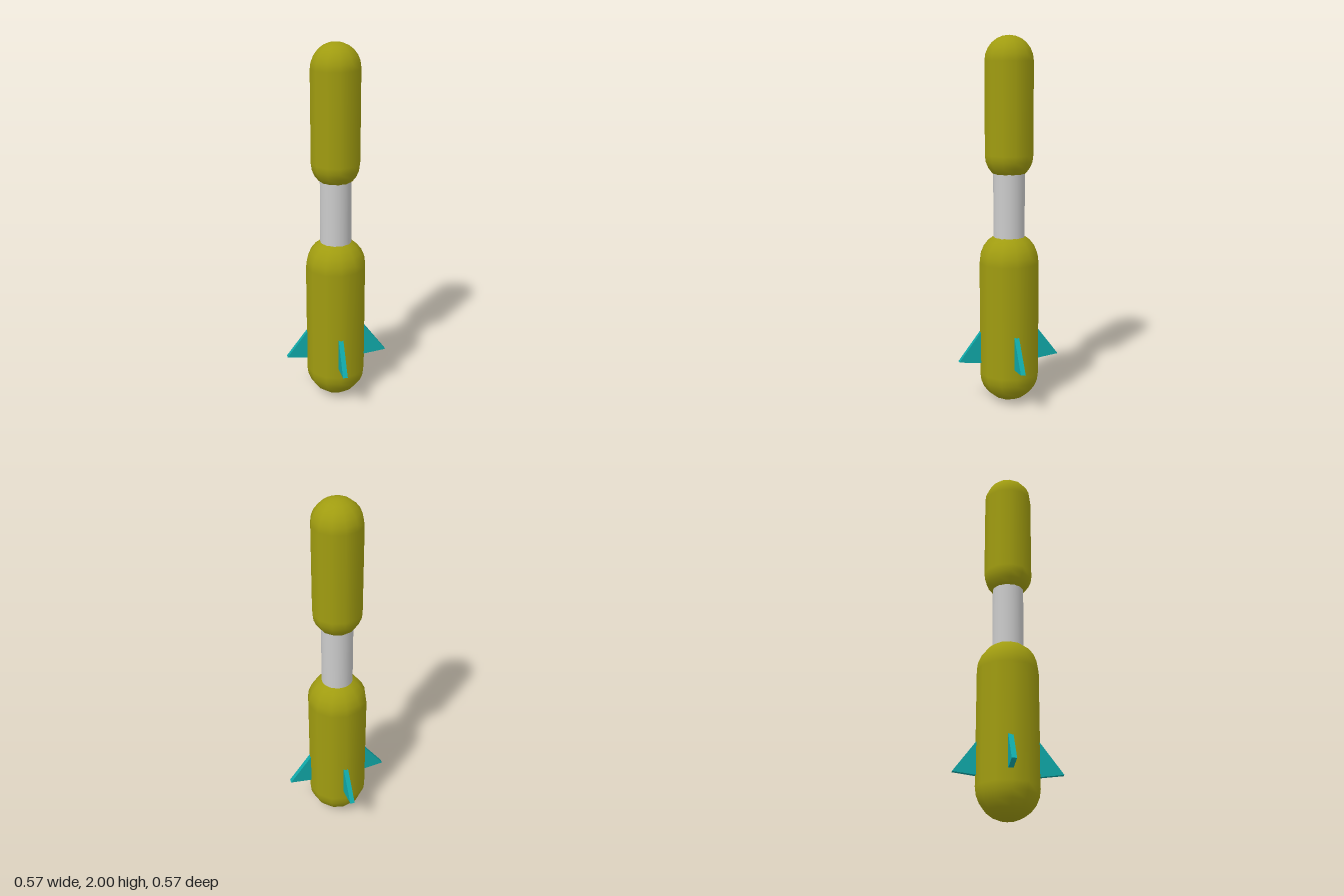
import * as THREE from 'three';

const CX = -0.004, CZ = -0.002; // axis of the body
const SIDES = 12;

export function createModel() {
  const model = new THREE.Group();
  const olive = new THREE.MeshStandardMaterial({ color: 0xa09c10 });
  const teal = new THREE.MeshStandardMaterial({ color: 0x10a8a8 });
  const grey = new THREE.MeshStandardMaterial({ color: 0xcccccc });

  const add = (name, geometry, material, x, y, z) => {
    const mesh = new THREE.Mesh(geometry, material);
    mesh.name = name;
    mesh.position.set(x, y, z);
    model.add(mesh);
    return mesh;
  };

  // Round-ended body sections, given by radius and end heights
  const capsule = (name, r, bottom, top) =>
    add(name, new THREE.CapsuleGeometry(r, top - bottom - 2 * r, 6, SIDES, 1),
      olive, CX, (top + bottom) / 2, CZ);
  capsule('lowerBody', 0.166, 0, 0.956);
  capsule('upperBody', 0.133, 1.243, 2);

  // Connecting rod, its ends buried in the two bodies
  add('connectingRod', new THREE.CylinderGeometry(0.085, 0.085, 0.5, 24), grey, CX, 1.1, CZ);

  // Four wedge-shaped fins around the lower body
  const profile = new THREE.Shape([
    new THREE.Vector2(0.145, 0.425),
    new THREE.Vector2(0.145, 0.222),
    new THREE.Vector2(0.284, 0.24),
  ]);
  const finGeometry = new THREE.ExtrudeGeometry(profile, { depth: 0.026, bevelEnabled: false });
  finGeometry.translate(0, 0, -0.013);
  const fins = [
    ['leftFin', 0, 0, 0.001],
    ['backFin', 1, -0.002, 0],
    ['rightFin', 2, 0, -0.01],
    ['frontFin', 3, -0.006, 0],
  ];
  for (const [name, quarter, x, z] of fins) {
    add(name, finGeometry, teal, x, 0, z).rotation.y = quarter * Math.PI / 2;
  }

  return model;
}
